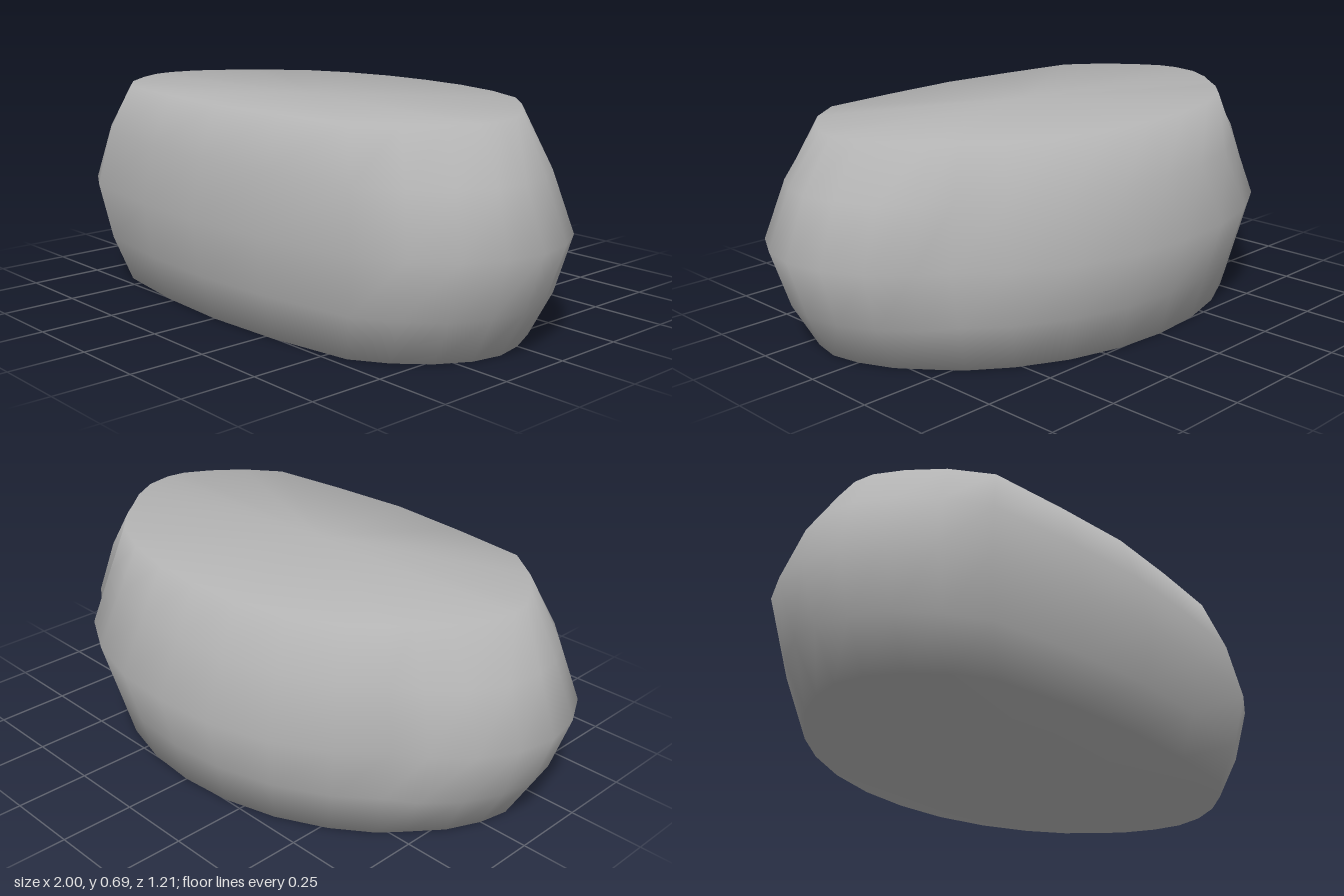
import * as THREE from 'three';

// Half outlines [x, z], running from the front centre round the left side to the back centre
const topRim = [[0, .5], [.28, .48], [.56, .45], [.68, .36], [.76, .26], [.81, .17], [.82, .1], [.8, 0],
  [.74, -.1], [.67, -.18], [.62, -.24], [.52, -.33], [.36, -.4], [.18, -.44], [0, -.45]];
const waist = [[0, .6], [.3, .58], [.66, .53], [.8, .45], [.91, .35], [.975, .23], [1, .1], [.975, -.03],
  [.91, -.15], [.81, -.25], [.72, -.31], [.6, -.43], [.42, -.53], [.21, -.59], [0, -.605]];
const bottomRim = [[0, .52], [.28, .505], [.57, .46], [.68, .39], [.77, .3], [.83, .2], [.85, .1], [.83, 0],
  [.78, -.11], [.7, -.21], [.64, -.28], [.52, -.37], [.36, -.45], [.18, -.5], [0, -.515]];
const SEAM = 10; // from here on the back panel has straight slopes

// Mix two outlines, swelling the front and sides slightly
function blend(a, b, t, swell) {
  return a.map(([x, z], i) => {
    const s = i < SEAM ? swell : 1;
    return [THREE.MathUtils.lerp(x, b[i][0], t) * s, THREE.MathUtils.lerp(z, b[i][1], t) * s];
  });
}

// Complete a half outline by mirroring it across x
function mirror(half) {
  return half.concat(half.slice(1, -1).reverse().map(([x, z]) => [-x, z]));
}

export function createModel() {
  const grey = new THREE.MeshStandardMaterial({ color: 0xb4b4b4 });
  grey.name = 'plain grey';

  const levels = [
    [0, bottomRim],
    [.15, blend(bottomRim, waist, .44, 1.022)],
    [.34, waist],
    [.53, blend(waist, topRim, .53, 1.025)],
    [.695, topRim],
  ];

  // Body: stacked outlines joined by quads
  const positions = [], index = [];
  const n = mirror(waist).length;
  for (const [y, half] of levels) {
    for (const [x, z] of mirror(half)) positions.push(x, y, z);
  }
  for (let l = 0; l < levels.length - 1; l++) {
    for (let i = 0; i < n; i++) {
      const j = (i + 1) % n, a = l * n + i, b = l * n + j;
      index.push(a, b, b + n, a, b + n, a + n);
    }
  }

  // Flat top and bottom, sharing the rim so the shading stays soft
  const bottom = positions.length / 3, top = bottom + 1, last = (levels.length - 1) * n;
  positions.push(0, 0, .1, 0, .695, .1);
  for (let i = 0; i < n; i++) {
    const j = (i + 1) % n;
    index.push(bottom, j, i, top, last + i, last + j);
  }

  const geometry = new THREE.BufferGeometry();
  geometry.setAttribute('position', new THREE.Float32BufferAttribute(positions, 3));
  geometry.setIndex(index);
  geometry.computeVertexNormals();

  const body = new THREE.Mesh(geometry, grey);
  body.name = 'cushionBody';
  const group = new THREE.Group();
  group.name = 'cushion';
  group.add(body);
  return group;
}
